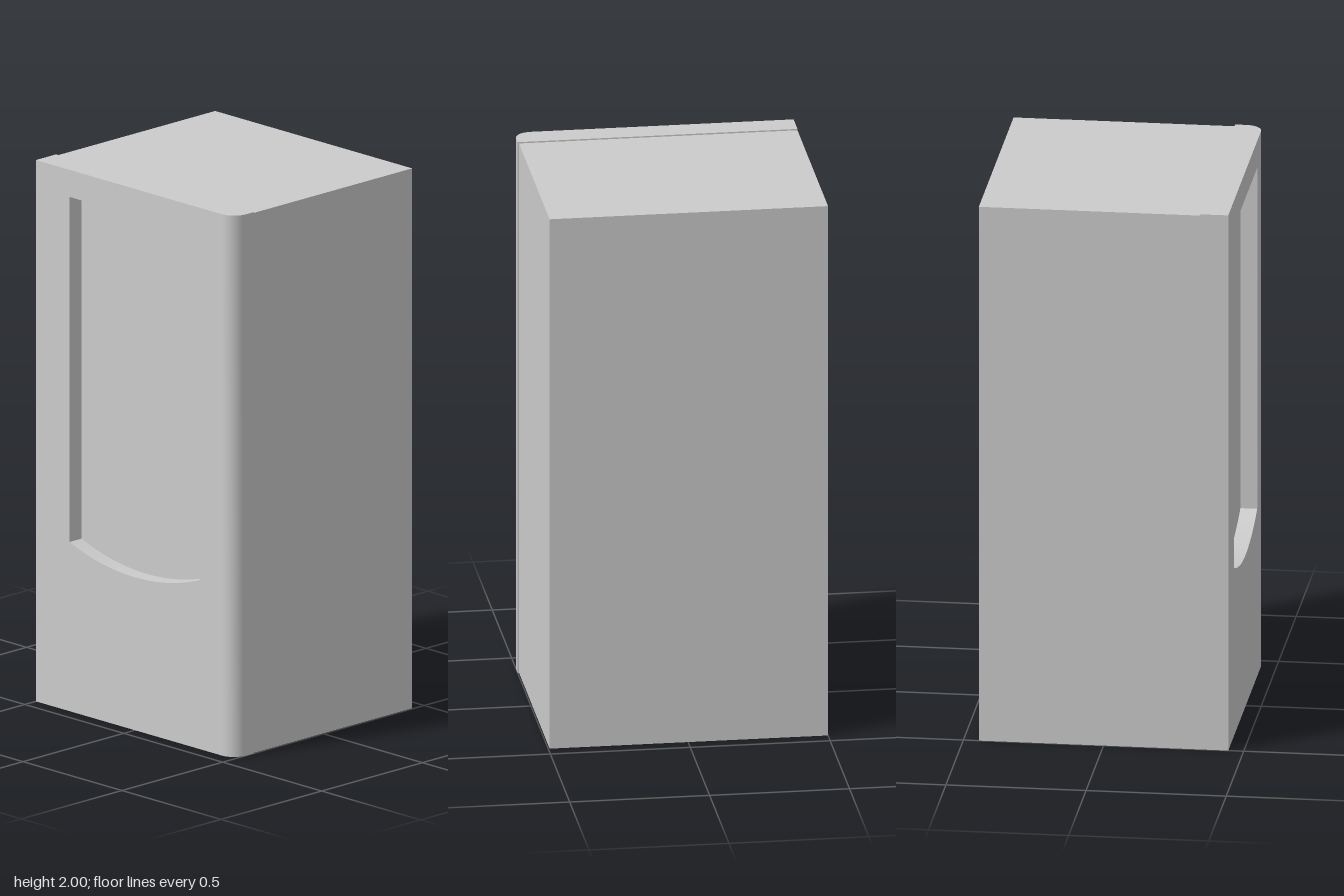
import * as THREE from 'three';
import { toCreasedNormals } from 'three/addons/utils/BufferGeometryUtils.js';

const material = new THREE.MeshStandardMaterial({ color: 0xcccccc });

function add(parent, name, geometry, x = 0, y = 0, z = 0) {
  const mesh = new THREE.Mesh(geometry, material);
  mesh.name = name;
  mesh.position.set(x, y, z);
  parent.add(mesh);
  return mesh;
}

function extrude(shape, depth, curveSegments) {
  const geometry = new THREE.ExtrudeGeometry(shape, { depth, curveSegments, bevelEnabled: false });
  return toCreasedNormals(geometry, 0.5);
}

export function createModel() {
  const model = new THREE.Group();
  model.name = 'cabinet';

  const outer = -0.445, inner = -0.345; // door thickness along x
  const height = 2, back = -0.5, front = 0.5;
  const recess = 0.06, radius = 0.06;

  // Main body, a hair lower and shallower than the door
  const bodyWidth = 0.445 - inner, bodyHeight = 1.995, bodyDepth = 0.995;
  add(model, 'body', new THREE.BoxGeometry(bodyWidth, bodyHeight, bodyDepth),
    inner + bodyWidth / 2, bodyHeight / 2, back + bodyDepth / 2);

  const door = new THREE.Group();
  door.name = 'door';
  model.add(door);

  // Door face with a window opening whose lower edge is an arc
  const edge = front - radius;
  const face = new THREE.Shape();
  face.moveTo(back, 0).lineTo(edge, 0).lineTo(edge, height).lineTo(back, height).closePath();

  const half = 0.33, top = 1.9, corner = 0.625, sag = 0.06;
  const arcRadius = (half * half + sag * sag) / (2 * sag);
  const sweep = Math.asin(half / arcRadius);
  const opening = new THREE.Path();
  opening.moveTo(half, top).lineTo(-half, top).lineTo(-half, corner);
  opening.absarc(0, corner - sag + arcRadius, arcRadius, -Math.PI / 2 - sweep, -Math.PI / 2 + sweep, false);
  opening.closePath();
  face.holes.push(opening);
  const faceGeometry = extrude(face, recess, 16).rotateY(-Math.PI / 2);
  add(door, 'doorFace', faceGeometry, outer + recess);

  // Panel behind the opening
  const panelDepth = inner - outer - recess;
  add(door, 'recessedPanel', new THREE.BoxGeometry(panelDepth, height, edge - back),
    inner - panelDepth / 2, height / 2, (edge + back) / 2);

  // Rounded front edge of the door, drawn in plan (shape y is -z)
  const plan = new THREE.Shape();
  plan.moveTo(inner, -edge).lineTo(outer, -edge);
  plan.absarc(outer + radius, -edge, radius, Math.PI, Math.PI * 1.5, false);
  plan.lineTo(inner, -front).closePath();
  add(door, 'roundedDoorEdge', extrude(plan, height, 4).rotateX(-Math.PI / 2));

  return model;
}
